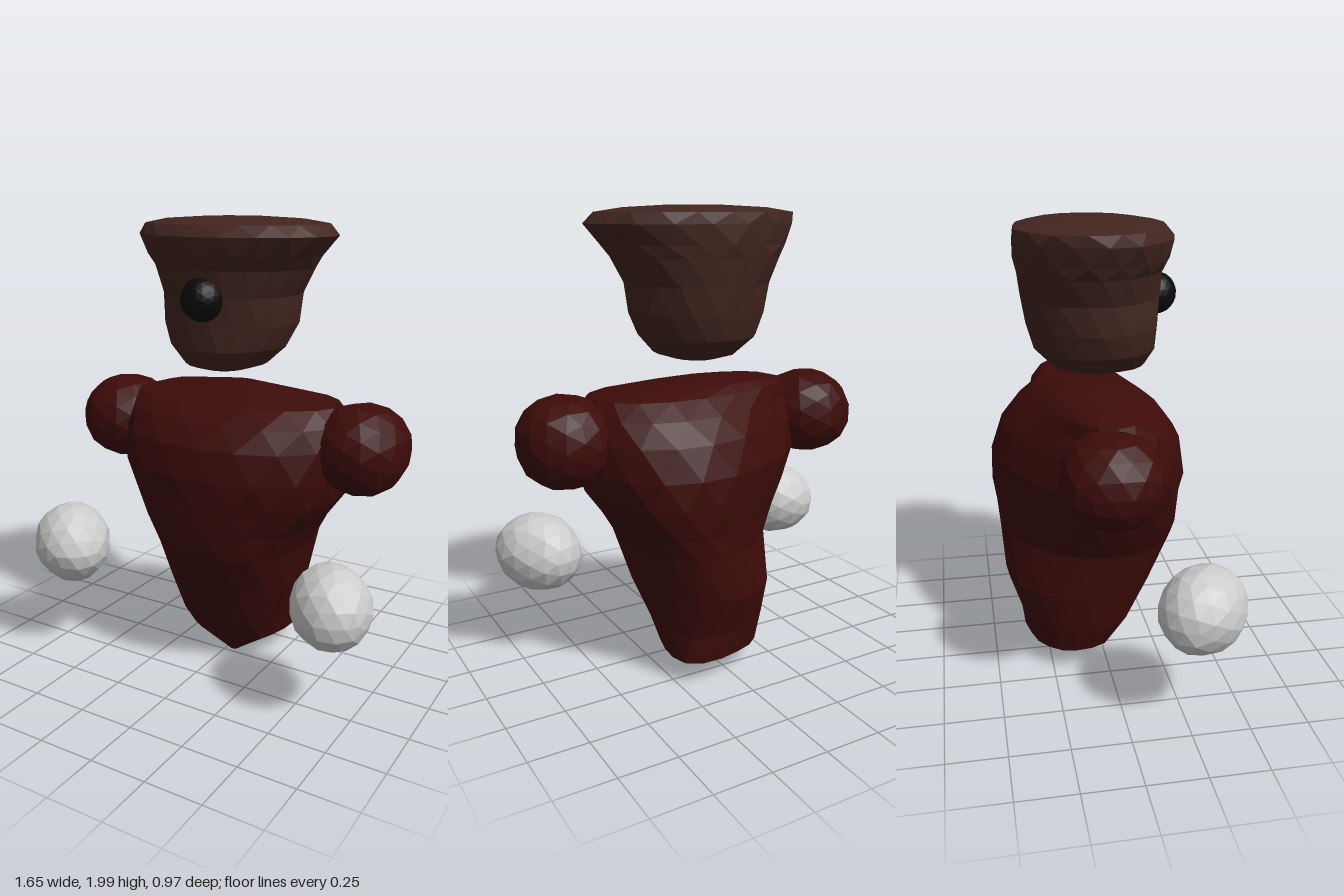
import * as THREE from 'three';
import { mergeVertices } from 'three/addons/utils/BufferGeometryUtils.js';

const { smoothstep } = THREE.MathUtils;
const material = (color) => new THREE.MeshStandardMaterial({ color, flatShading: true });

// Repeatable value in -1..1 for the hand-carved irregularity
const noise = (a, b) => {
  const s = Math.sin(a * 127.1 + b * 311.7) * 43758.5453;
  return (s - Math.floor(s)) * 2 - 1;
};

// Closed faceted loft. Each ring: [y, xMin, xMax, zBack, zFront].
// warp(v, s, c) shifts a point v, given its direction s (towards +x), c (towards +z)
function loft(rings, sides, rough, frontPower, warp) {
  const pos = [], index = [];
  const v = new THREE.Vector3();
  rings.forEach(([y, x0, x1, z0, z1], r) => {
    for (let i = 0; i < sides; i++) {
      const a = ((i + (r % 2) * 0.5) / sides) * Math.PI * 2;
      const s = Math.sin(a), c = Math.cos(a);
      // The front half is fuller than an ellipse
      const p = c > 0 ? frontPower : 2;
      const full = (Math.abs(s) ** p + Math.abs(c) ** p) ** (-1 / p);
      const k = (full * (1 + rough * noise(i + 1, r + 1))) / 2;
      v.set((x0 + x1) / 2 + (x1 - x0) * s * k, y, (z0 + z1) / 2 + (z1 - z0) * c * k);
      warp(v, s, c);
      pos.push(v.x, v.y, v.z);
    }
  });
  for (let r = 0; r < rings.length - 1; r++) {
    for (let i = 0; i < sides; i++) {
      const j = (i + 1) % sides;
      const a = r * sides + i, b = r * sides + j, c = a + sides, d = b + sides;
      if (r % 2) index.push(a, b, d, a, d, c);
      else index.push(a, b, c, b, d, c);
    }
  }
  // Caps
  [0, rings.length - 1].forEach((r) => {
    const [y, x0, x1, z0, z1] = rings[r];
    const c = pos.length / 3;
    pos.push((x0 + x1) / 2, y, (z0 + z1) / 2);
    for (let i = 0; i < sides; i++) {
      const a = r * sides + i, b = r * sides + ((i + 1) % sides);
      if (r) index.push(a, b, c);
      else index.push(b, a, c);
    }
  });
  const g = new THREE.BufferGeometry();
  g.setAttribute('position', new THREE.Float32BufferAttribute(pos, 3));
  g.setIndex(index);
  g.computeVertexNormals();
  return g;
}

// Faceted lump: a sphere with uneven corners; power above 2 makes it boxier
function lump(rx, ry, rz, power, rough, detail, seed) {
  let g = new THREE.IcosahedronGeometry(1, detail);
  g.deleteAttribute('normal');
  g.deleteAttribute('uv');
  g = mergeVertices(g, 1e-3);
  const p = g.attributes.position;
  for (let i = 0; i < p.count; i++) {
    const xyz = [p.getX(i), p.getY(i), p.getZ(i)];
    const norm = xyz.reduce((sum, t) => sum + Math.abs(t) ** power, 0) ** (1 / power);
    const k = (1 + rough * noise(i + 1, seed)) / norm;
    p.setXYZ(i, xyz[0] * rx * k, xyz[1] * ry * k, xyz[2] * rz * k);
  }
  g.computeVertexNormals();
  return g;
}

// Back leans to the left and is flattened at the right; the hem juts out at the back left
function warpBody(v, s, c) {
  const upper = smoothstep(v.y, 0.25, 0.8) * (1 - smoothstep(v.y, 1.2, 1.29));
  const hem = smoothstep(v.y, 0, 0.1) * (1 - smoothstep(v.y, 0.1, 0.5));
  const corner = 0.05 * hem * Math.max(0, (s - c) * Math.SQRT1_2) ** 4;
  const flat = 0.04 * upper * Math.max(0, -(s + c) * Math.SQRT1_2) ** 4;
  v.x += 0.1 * upper * Math.min(0, c) ** 2 + corner + flat;
  v.z += flat - corner;
}

// Crown leans at the front and is squarer at its back right corner
function warpHead(v, s, c) {
  const crown = smoothstep(v.y, 1.55, 1.9) * (1 - smoothstep(v.y, 1.965, 1.99));
  v.x += 0.04 * crown * Math.max(0, c) ** 2;
  v.z -= 0.045 * crown * Math.max(0, -(s + c) * Math.SQRT1_2) ** 4;
}

export function createModel() {
  const group = new THREE.Group();
  const red = material(0x3c0b09), brown = material(0x42251f);
  const grey = material(0xcccccc), black = material(0x0a0a0a);
  const add = (name, geometry, mat, x, y, z, turn = 0) => {
    const mesh = new THREE.Mesh(geometry, mat);
    mesh.name = name;
    mesh.position.set(x, y, z);
    mesh.rotation.y = turn;
    group.add(mesh);
  };

  // Body: broad shoulders narrowing to a blunt point
  add('body', loft([
    [0.0, 0.01, 0.06, -0.16, -0.02],
    [0.1, -0.21, 0.225, -0.335, 0.05],
    [0.22, -0.245, 0.26, -0.36, 0.135],
    [0.4, -0.275, 0.33, -0.435, 0.22],
    [0.6, -0.3, 0.385, -0.46, 0.32],
    [0.7, -0.355, 0.435, -0.47, 0.335],
    [0.83, -0.43, 0.525, -0.485, 0.345],
    [0.95, -0.475, 0.56, -0.485, 0.355],
    [1.08, -0.47, 0.565, -0.44, 0.335],
    [1.17, -0.46, 0.555, -0.37, 0.27],
    [1.235, -0.445, 0.515, -0.29, 0.18],
    [1.265, -0.33, 0.3, -0.22, 0.08],
    [1.29, -0.05, 0.11, -0.14, -0.03],
  ], 18, 0.012, 2.4, warpBody), red, 0, 0, 0);

  // Head: rounded chin flaring to a wide flat crown with a thick front rim
  add('head', loft([
    [1.36, -0.08, 0.1, -0.12, 0.1],
    [1.385, -0.16, 0.18, -0.21, 0.19],
    [1.46, -0.24, 0.26, -0.285, 0.23],
    [1.56, -0.275, 0.305, -0.315, 0.24],
    [1.68, -0.285, 0.325, -0.335, 0.25],
    [1.79, -0.33, 0.38, -0.345, 0.265],
    [1.84, -0.36, 0.415, -0.35, 0.295],
    [1.92, -0.395, 0.485, -0.355, 0.315],
    [1.965, -0.385, 0.45, -0.35, 0.28],
    [1.983, -0.29, 0.33, -0.29, 0.19],
    [1.993, -0.1, 0.15, -0.14, 0.06],
  ], 18, 0.014, 2, warpHead), brown, 0, 0, 0);
  add('nose', lump(0.09, 0.09, 0.09, 2, 0, 3, 1), black, 0.04, 1.675, 0.24);

  // Shoulders, then the floating hands
  add('rightShoulder', lump(0.2, 0.19, 0.21, 2.2, 0.02, 2, 2), red, -0.558, 1.07, -0.05);
  add('leftShoulder', lump(0.2, 0.19, 0.21, 2.2, 0.02, 2, 3), red, 0.628, 1.07, -0.05);
  add('rightHand', lump(0.207, 0.18, 0.175, 2, 0.02, 2, 4), grey, -0.64, 0.525, 0.305, -Math.PI / 4);
  add('leftHand', lump(0.206, 0.174, 0.168, 2, 0.02, 2, 5), grey, 0.65, 0.497, 0.265, -Math.PI / 3);
  return group;
}
